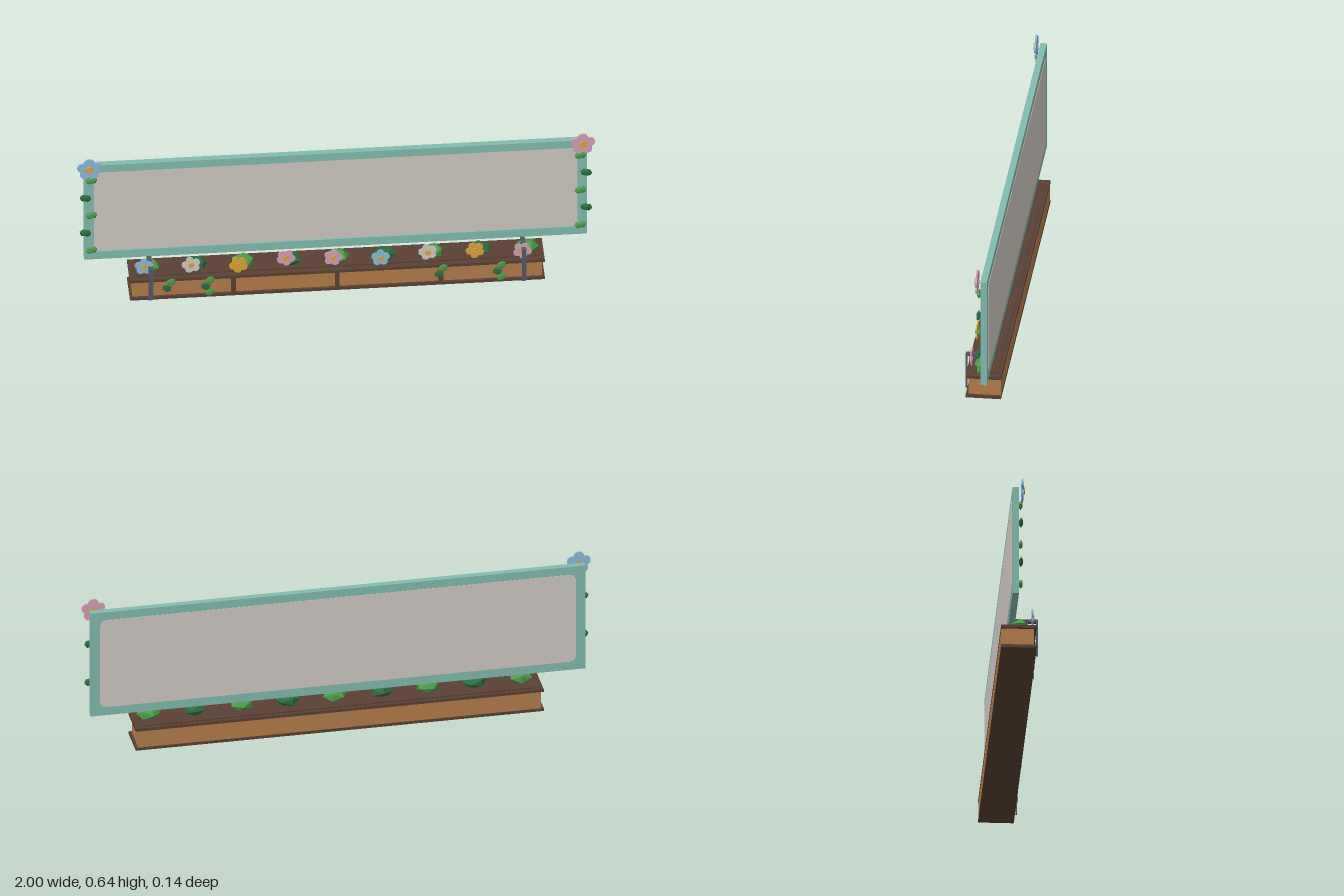
import * as THREE from 'three';

const mat = (name, color, flatShading = false) => {
  const m = new THREE.MeshStandardMaterial({ color });
  m.name = name;
  m.flatShading = flatShading;
  return m;
};

export function createModel() {
  const model = new THREE.Group();
  model.name = 'flowerBoxSign';
  const teal = mat('tealPaint', 0x82bcae);
  const cream = mat('cream', 0xd0cac3);
  const wood = mat('wood', 0xb47c49);
  const brown = mat('darkBrown', 0x5a4034);
  const metal = mat('metal', 0x555866);
  const green = mat('leafGreen', 0x4f9e4b, true);
  const darkGreen = mat('darkLeafGreen', 0x2f6e42, true);
  const blue = mat('bluePetal', 0x8dbbdb);
  const pink = mat('pinkPetal', 0xd8a0b6);
  const yellow = mat('yellow', 0xdba63a);

  const add = (name, geo, material, x = 0, y = 0, z = 0, parent = model) => {
    const mesh = new THREE.Mesh(geo, material);
    mesh.name = name;
    mesh.position.set(x, y, z);
    parent.add(mesh);
    return mesh;
  };
  // Box given by its lower and upper limits
  const box = (name, material, x0, x1, y0, y1, z0, z1) =>
    add(name, new THREE.BoxGeometry(x1 - x0, y1 - y0, z1 - z0), material,
      (x0 + x1) / 2, (y0 + y1) / 2, (z0 + z1) / 2);
  // Squashed low-poly leaf clump with given half sizes
  const leaf = (name, material, x, y, z, hx, hy, hz, tilt = 0, turn = 0) => {
    const geo = new THREE.IcosahedronGeometry(1, 0).rotateY(turn).scale(hx, hy, hz);
    const mesh = add(name, geo, material, x, y, z);
    mesh.rotation.z = tilt;
  };

  // Sign: backing board, raised front rails, face panels
  box('signBoard', teal, -0.97, 0.97, 0.15, 0.6, -0.039, -0.024);
  box('topRail', teal, -0.97, 0.97, 0.566, 0.6, -0.024, -0.014);
  box('bottomRail', teal, -0.97, 0.97, 0.15, 0.186, -0.024, -0.014);
  for (const s of [-1, 1]) {
    const xs = [s * 0.97, s * 0.933].sort((a, b) => a - b);
    box('sideRail', teal, xs[0], xs[1], 0.186, 0.566, -0.024, -0.014);
  }
  box('frontPanel', cream, -0.933, 0.933, 0.186, 0.566, -0.024, -0.021);

  // Rounded panel on the back
  const w = 0.933, b = 0.186, t = 0.566, r = 0.03;
  const round = new THREE.Shape();
  round.moveTo(-w + r, b);
  round.lineTo(w - r, b);
  round.quadraticCurveTo(w, b, w, b + r);
  round.lineTo(w, t - r);
  round.quadraticCurveTo(w, t, w - r, t);
  round.lineTo(-w + r, t);
  round.quadraticCurveTo(-w, t, -w, t - r);
  round.lineTo(-w, b + r);
  round.quadraticCurveTo(-w, b, -w + r, b);
  add('backPanel', new THREE.ExtrudeGeometry(round, { depth: 0.002, bevelEnabled: false }),
    cream, 0, 0, -0.0405);

  // Planter box with rims, soil and front battens
  box('planterBody', wood, -0.79, 0.79, 0.012, 0.083, -0.072, 0.054);
  box('bottomRim', brown, -0.8, 0.8, 0, 0.012, -0.073, 0.064);
  box('topRim', brown, -0.8, 0.8, 0.083, 0.095, -0.073, 0.064);
  box('soil', brown, -0.77, 0.77, 0.095, 0.1, -0.059, 0.041);
  for (const x of [-0.4, 0, 0.4]) {
    box('batten', brown, x - 0.009, x + 0.009, 0.012, 0.083, 0.054, 0.061);
  }

  // Metal brackets joining planter and sign
  for (const x of [-0.72, 0.72]) {
    box('bracketLeg', metal, x - 0.009, x + 0.009, 0.003, 0.152, 0.066, 0.072);
    box('bracketArm', metal, x - 0.009, x + 0.009, 0.142, 0.152, -0.014, 0.066);
    box('bracketPost', metal, x - 0.006, x + 0.006, 0.1, 0.155, 0.03, 0.035);
  }

  // Five-petalled flat flower facing forward
  const flower = (x, y, z, size, material, turn = 0) => {
    const g = new THREE.Group();
    g.name = 'flower';
    g.position.set(x, y, z);
    g.rotation.z = turn;
    model.add(g);
    const disc = (radius, depth) =>
      new THREE.CylinderGeometry(radius, radius, depth, 14).rotateX(Math.PI / 2);
    for (let i = 0; i < 5; i++) {
      const a = Math.PI / 2 + i * Math.PI * 0.4;
      add('petal', disc(size * 0.42, size * 0.14), material,
        Math.cos(a) * size * 0.58, Math.sin(a) * size * 0.58, (i % 2) * 0.0004, g);
    }
    add('flowerCore', disc(size * 0.3, size * 0.2), yellow, 0, 0, size * 0.1, g);
  };

  // Corner flowers
  flower(-0.952, 0.594, 0, 0.048, blue);
  flower(0.952, 0.594, 0, 0.048, pink);

  // Row of shrubs and flowers in the planter
  const petals = [blue, cream, yellow, pink, pink, blue, cream, yellow, pink];
  const heights = [0.15, 0.147, 0.136, 0.158, 0.147, 0.134, 0.15, 0.147, 0.133];
  petals.forEach((p, i) => {
    const x = -0.73 + i * 0.1825;
    leaf('shrub', i % 2 ? darkGreen : green, x + 0.005, 0.119, 0.003, 0.048, 0.03, 0.035, 0, i * 0.7);
    flower(x - 0.015, heights[i], 0.05, 0.037, p, i * 0.25);
  });

  // Leaves climbing both sides of the sign
  for (const s of [-1, 1]) {
    for (let i = 0; i < 5; i++) {
      leaf('climbingLeaf', i % 2 ? darkGreen : green, s * (i % 2 ? 0.966 : 0.943),
        0.535 - i * 0.0835, -0.006, 0.026, 0.018, 0.009, i % 2 ? -0.2 : 0.2);
    }
  }

  // Trailing vines over the planter front
  [[-0.65, 2], [-0.5, 3], [0.4, 2], [0.625, 3]].forEach(([x, n]) => {
    for (let i = 0; i < n; i++) {
      const side = i % 2 ? -1 : 1;
      leaf('vineLeaf', i % 2 ? darkGreen : green, x + side * 0.008, 0.082 - i * 0.029, 0.067,
        0.022, 0.017, 0.004, side * 0.6);
    }
  });

  return model;
}
